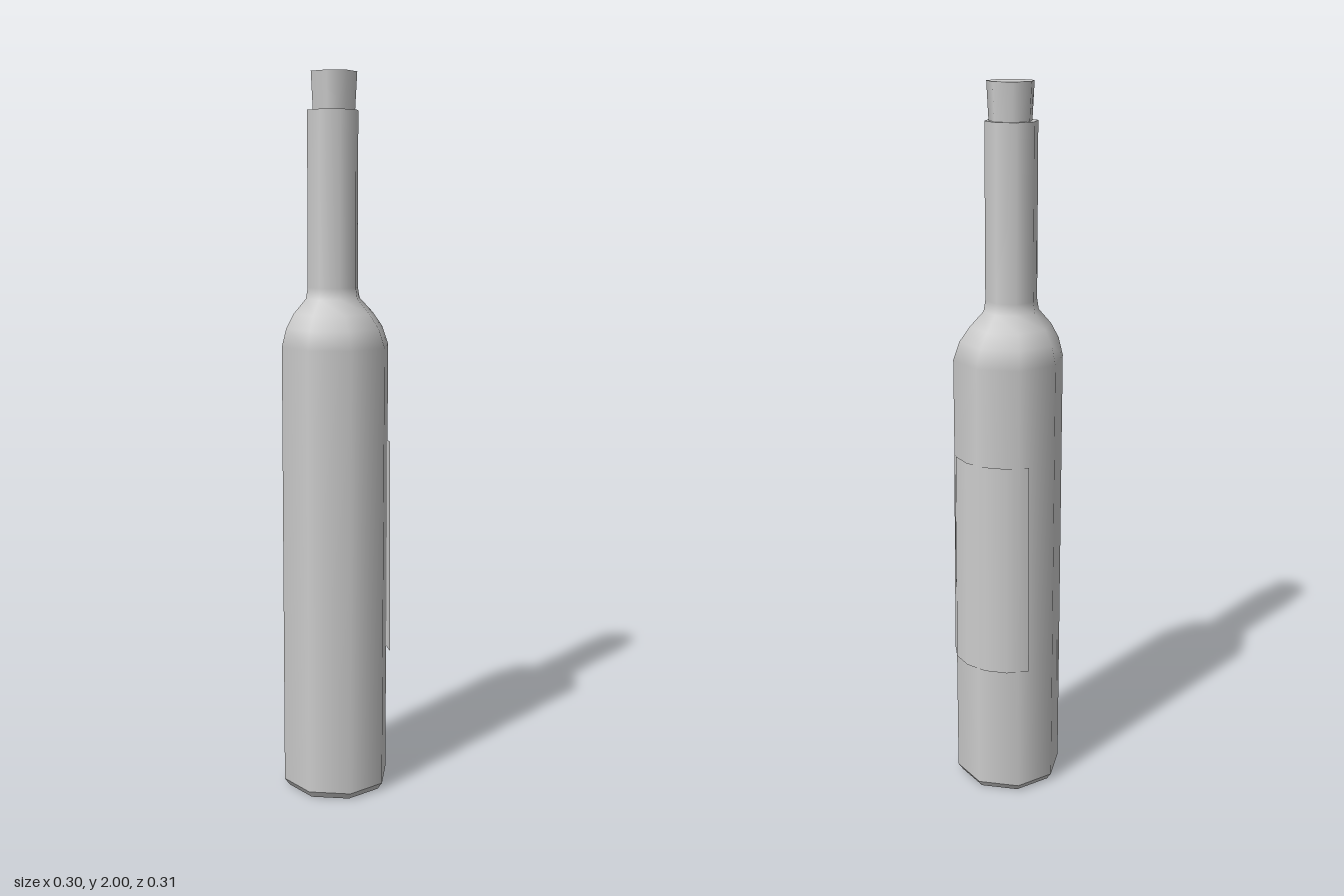
import * as THREE from 'three';

const SIDES = 8;
const grey = new THREE.MeshStandardMaterial({ color: 0xcccccc });
const greyThin = new THREE.MeshStandardMaterial({ color: 0xcccccc, side: THREE.DoubleSide });

function addMesh(group, name, geometry, material = grey) {
  const mesh = new THREE.Mesh(geometry, material);
  mesh.name = name;
  group.add(mesh);
  return mesh;
}

// Profile of [radius, height]; a repeated point makes a sharp edge
function lathe(profile) {
  return new THREE.LatheGeometry(profile.map(([r, y]) => new THREE.Vector2(r, y)), SIDES);
}

export function createModel() {
  const bottle = new THREE.Group();
  bottle.name = 'bottle';

  // Glass: base, straight body, shoulder and neck
  const glass = lathe([
    [0, 0], [0.138, 0], [0.138, 0],
    [0.152, 0.02], [0.152, 0.02],
    [0.152, 1.27], [0.137, 1.32], [0.112, 1.36], [0.076, 1.4],
    [0.071, 1.43], [0.071, 1.9], [0.071, 1.9], [0.05, 1.9],
  ]);
  // The neck sits slightly off the body's axis
  const pos = glass.attributes.position;
  for (let i = 0; i < pos.count; i++) {
    const t = THREE.MathUtils.smoothstep(pos.getY(i), 1.27, 1.4);
    pos.setX(i, pos.getX(i) - 0.004 * t);
    pos.setZ(i, pos.getZ(i) + 0.008 * t);
  }
  addMesh(bottle, 'glass', glass);

  // Cork: tapered stopper standing out of the neck
  const cork = addMesh(bottle, 'cork', new THREE.CylinderGeometry(0.064, 0.057, 0.13, 7));
  cork.position.set(-0.005, 1.935, 0.004);
  cork.rotation.y = -Math.PI / 2;

  // Label: thin curved sheet around the back, flaring a little at the bottom
  const label = new THREE.CylinderGeometry(
    0.152, 0.156, 0.61, 5, 1, true, Math.PI * 0.66, Math.PI * 0.65);
  addMesh(bottle, 'backLabel', label, greyThin).position.y = 0.695;

  return bottle;
}
